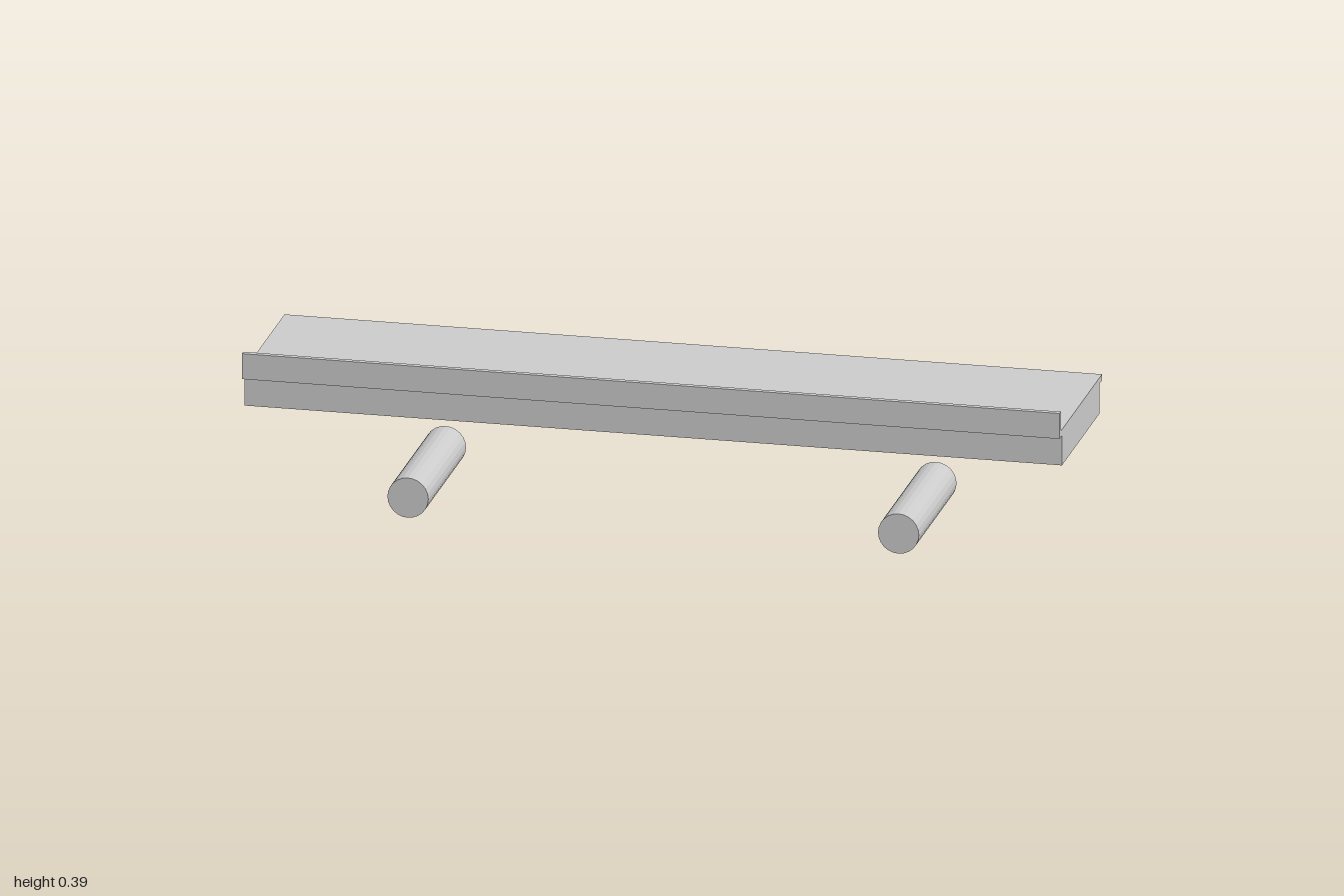
import * as THREE from 'three';

const material = new THREE.MeshStandardMaterial({ color: 0xcccccc, flatShading: true });

function add(group, name, geometry) {
  const mesh = new THREE.Mesh(geometry, material);
  mesh.name = name;
  group.add(mesh);
  return mesh;
}

export function createModel() {
  const group = new THREE.Group();

  // Deck: one cross-section (z, y) with an overhanging plate and an upright front lip
  const profile = [
    [0.2, 0.252], [0.2, 0.327], [0.226, 0.327], [0.226, 0.391], [0.212, 0.391],
    [0.212, 0.342], [-0.226, 0.342], [-0.226, 0.327], [-0.2, 0.327], [-0.2, 0.252],
  ];
  const shape = new THREE.Shape(profile.map(([z, y]) => new THREE.Vector2(-z, y)));
  const deck = new THREE.ExtrudeGeometry(shape, { depth: 2, bevelEnabled: false });
  deck.translate(0, 0, -1).rotateY(Math.PI / 2);
  add(group, 'deck', deck);

  // Two rollers lying across the deck's width
  for (const [name, x] of [['leftRoller', 0.6], ['rightRoller', -0.6]]) {
    const roller = new THREE.CylinderGeometry(0.05, 0.05, 0.4, 24).rotateX(Math.PI / 2);
    add(group, name, roller).position.set(x, 0.05, 0);
  }

  return group;
}
